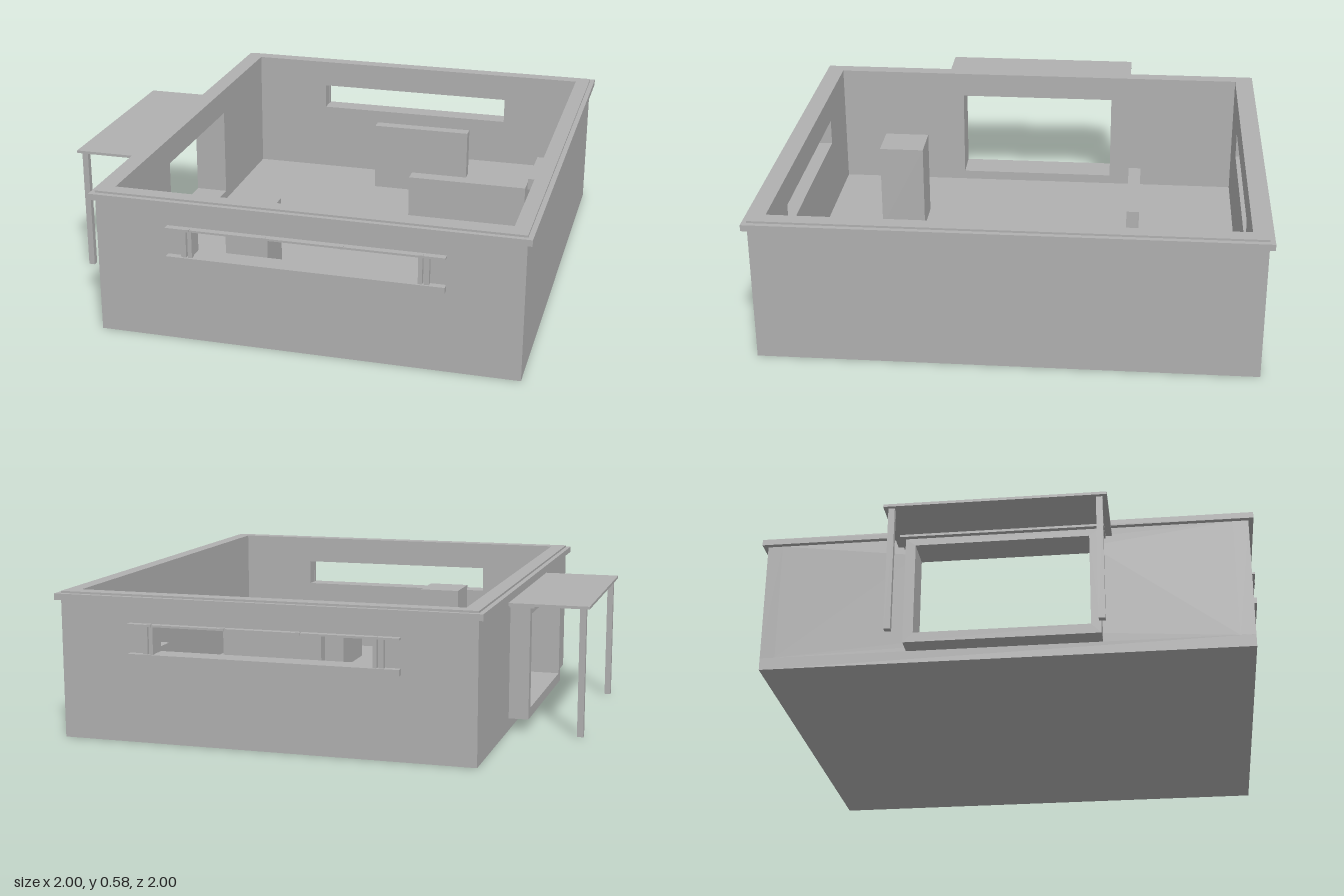
import * as THREE from 'three';

const grey = new THREE.MeshStandardMaterial({ color: 0xb0b0b0 });
grey.name = 'plain grey';

// Box given by its limits on each axis
function box(parent, name, x0, x1, y0, y1, z0, z1) {
  const m = new THREE.Mesh(new THREE.BoxGeometry(x1 - x0, y1 - y0, z1 - z0), grey);
  m.position.set((x0 + x1) / 2, (y0 + y1) / 2, (z0 + z1) / 2);
  m.name = name;
  parent.add(m);
  return m;
}

// Rectangular panel with a rectangular hole, in the xy plane, extruded along +z
function panel(x0, x1, y0, y1, hx0, hx1, hy0, hy1, depth) {
  const shape = new THREE.Shape([[x0, y0], [x1, y0], [x1, y1], [x0, y1]].map(p => new THREE.Vector2(...p)));
  shape.holes.push(new THREE.Path([[hx0, hy0], [hx0, hy1], [hx1, hy1], [hx1, hy0]].map(p => new THREE.Vector2(...p))));
  return new THREE.ExtrudeGeometry(shape, { depth, bevelEnabled: false });
}

function add(parent, name, geometry) {
  const m = new THREE.Mesh(geometry, grey);
  m.name = name;
  parent.add(m);
  return m;
}

function group(parent, name) {
  const g = new THREE.Group();
  g.name = name;
  parent.add(g);
  return g;
}

export function createModel() {
  const model = new THREE.Group();
  model.name = 'room';

  // Floor and plain side wall
  box(model, 'floor', -0.68, 0.98, 0, 0.05, -0.97, 0.97);
  box(model, 'plainWall', 0.92, 0.98, 0.05, 0.55, -0.91, 0.91);

  // Wall with the doorway
  const doorWall = add(model, 'doorWall', panel(-0.91, 0.91, 0.05, 0.55, -0.345, 0.345, 0.09, 0.475, 0.06));
  doorWall.rotation.y = -Math.PI / 2;
  doorWall.position.x = -0.62;

  // Front and back walls, each with a long window and its outer trim
  for (const s of [1, -1]) {
    const side = group(model, s > 0 ? 'frontWindowWall' : 'backWindowWall');
    const wall = add(side, 'windowWall', panel(-0.68, 0.98, 0.05, 0.55, -0.29, 0.59, 0.355, 0.465, 0.06));
    wall.position.z = s > 0 ? 0.91 : -0.97;
    const trim = (name, x0, x1, y0, y1, d0, d1) =>
      box(side, name, x0, x1, y0, y1, Math.min(s * d0, s * d1), Math.max(s * d0, s * d1));
    trim('windowLedge', -0.39, 0.69, 0.33, 0.355, 0.97, 0.998);
    trim('windowHood', -0.39, 0.69, 0.464, 0.472, 0.97, 0.998);
    for (const [a, b] of [[-0.33, -0.31], [-0.303, -0.287], [0.588, 0.604], [0.61, 0.63]])
      trim('windowPost', a, b, 0.355, 0.464, 0.97, 0.99);
    for (const x of [-0.3, 0, 0.3, 0.6])
      trim('hoodBracket', x - 0.008, x + 0.008, 0.464, 0.474, 0.985, 1);
  }

  // Stepped rim on top of the walls
  const rims = [
    ['rim', -0.70, 1.0, 0.99, 0.55, 0.025],
    ['rimStep', -0.68, 0.98, 0.97, 0.575, 0.008]
  ];
  for (const [name, x0, x1, z, y, h] of rims) {
    const rim = add(model, name, panel(x0, x1, -z, z, -0.62, 0.92, -0.91, 0.91, h));
    rim.rotation.x = -Math.PI / 2;
    rim.position.y = y;
  }

  // Porch: projecting door frame, lintel, roof and two posts
  const porch = group(model, 'porch');
  const frame = add(porch, 'doorFrame', panel(-0.385, 0.385, 0.05, 0.505, -0.345, 0.345, 0.09, 0.475, 0.08));
  frame.rotation.y = -Math.PI / 2;
  frame.position.x = -0.68;
  box(porch, 'lintel', -0.78, -0.68, 0.505, 0.515, -0.405, 0.405);
  box(porch, 'porchRoof', -1, -0.68, 0.515, 0.526, -0.43, 0.43);
  for (const z of [-0.4, 0.4])
    box(porch, 'porchPost', -0.985, -0.96, 0, 0.515, z - 0.0125, z + 0.0125);

  // Furniture
  const furniture = group(model, 'furniture');
  for (const [z0, z1] of [[-0.68, -0.375], [0.37, 0.67]]) {
    box(furniture, 'counter', 0.25, 0.78, 0.05, 0.235, z0, z1);
    box(furniture, 'shelf', 0.79, 0.895, 0.23, 0.28, z0 + 0.008, z1 - 0.005);
  }
  box(furniture, 'uprightPanel', 0.075, 0.5, 0.15, 0.445, -0.49, -0.44);
  box(furniture, 'cabinet', -0.27, -0.095, 0.05, 0.42, 0.465, 0.655);

  // Tray with three six-sided cups and a small card
  const tray = group(furniture, 'tray');
  box(tray, 'trayBase', 0.53, 0.675, 0.235, 0.248, 0.43, 0.505);
  for (const x of [0.56, 0.602, 0.645]) {
    const cup = add(tray, 'cup', new THREE.CylinderGeometry(0.02, 0.02, 0.014, 6).toNonIndexed());
    cup.geometry.computeVertexNormals();
    cup.position.set(x, 0.255, 0.467);
  }
  const card = box(tray, 'card', 0.605, 0.655, 0.255, 0.3, 0.486, 0.494);
  card.rotation.x = -0.3;

  return model;
}
